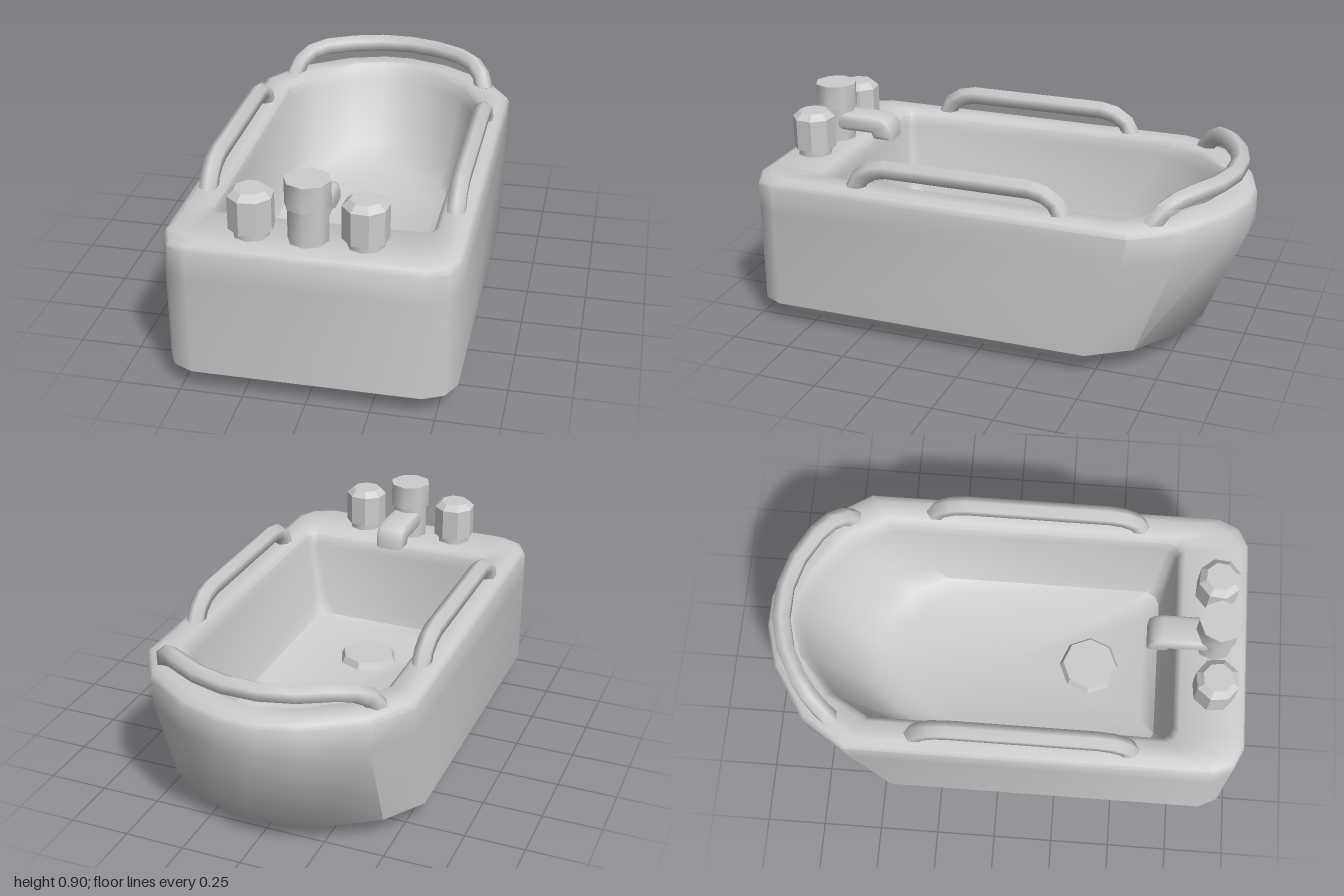
import * as THREE from 'three';
import { toCreasedNormals } from 'three/addons/utils/BufferGeometryUtils.js';

const material = new THREE.MeshStandardMaterial({ color: 0xcccccc });
const flatMaterial = new THREE.MeshStandardMaterial({ color: 0xcccccc, flatShading: true });
const V = (x, y, z) => new THREE.Vector3(x, y, z);

// Skin a list of equal-length rings and close both ends
function loft(rings, crease) {
  const n = rings[0].length, pos = [], index = [];
  rings.forEach(r => r.forEach(p => pos.push(p.x, p.y, p.z)));
  for (let i = 0; i < rings.length - 1; i++) {
    for (let j = 0; j < n; j++) {
      const a = i * n + j, b = i * n + (j + 1) % n;
      index.push(a, b, b + n, a, b + n, a + n);
    }
  }
  [0, rings.length - 1].forEach(i => {
    const c = V(0, 0, 0);
    rings[i].forEach(p => c.addScaledVector(p, 1 / n));
    const ci = pos.length / 3;
    pos.push(c.x, c.y, c.z);
    for (let j = 0; j < n; j++) {
      const a = i * n + j, b = i * n + (j + 1) % n;
      if (i === 0) index.push(ci, b, a); else index.push(ci, a, b);
    }
  });
  const g = new THREE.BufferGeometry();
  g.setAttribute('position', new THREE.Float32BufferAttribute(pos, 3));
  g.setIndex(index);
  return toCreasedNormals(g, crease);
}

// Tub outline: rounded front corners (size c), arched back (depth k)
function outline(y, hx, zf, zb, c, k) {
  const half = [
    [hx - c, zf], [hx - c * 0.33, zf - c * 0.33], [hx, zf - c],
    [hx, zb + k], [hx * 0.8, zb + k * 0.52], [hx * 0.43, zb + k * 0.14], [hx * 0.12, zb],
  ].map(([x, z]) => V(x, y, z));
  return [...half, ...half.map(p => V(-p.x, p.y, p.z)).reverse()];
}

// Six-sided rail following a list of points
function rail(points) {
  const up = V(0, 1, 0);
  const rings = points.map((p, i) => {
    const prev = points[Math.max(i - 1, 0)], next = points[Math.min(i + 1, points.length - 1)];
    const t = next.clone().sub(prev).normalize();
    const u = t.clone().cross(up).normalize(), w = t.clone().cross(u);
    return Array.from({ length: 6 }, (_, k) => {
      const a = (k + 0.5) * Math.PI / 3;
      return p.clone().addScaledVector(u, 0.04 * Math.cos(a)).addScaledVector(w, 0.04 * Math.sin(a));
    });
  });
  return loft(rings, 1.15);
}

export function createModel() {
  const model = new THREE.Group();
  const add = (name, geometry, x = 0, y = 0, z = 0, mat = material, parent = model) => {
    const mesh = new THREE.Mesh(geometry, mat);
    mesh.name = name;
    mesh.position.set(x, y, z);
    parent.add(mesh);
    return mesh;
  };

  // Shell: up the outside, over the rim, down the inside to the floor
  add('tub', loft([
    outline(0, 0.455, 0.88, -0.71, 0.1, 0.34),
    outline(0.09, 0.57, 1, -0.83, 0.12, 0.36),
    outline(0.5, 0.57, 1, -1, 0.12, 0.39),
    outline(0.615, 0.57, 1, -1, 0.12, 0.37),
    outline(0.635, 0.56, 0.99, -0.99, 0.12, 0.37),
    outline(0.65, 0.53, 0.96, -0.96, 0.12, 0.37),
    outline(0.65, 0.455, 0.73, -0.89, 0.05, 0.34),
    outline(0.63, 0.432, 0.708, -0.87, 0.04, 0.33),
    outline(0.58, 0.425, 0.7, -0.85, 0.04, 0.33),
    outline(0.32, 0.385, 0.68, -0.68, 0.05, 0.31),
    outline(0.25, 0.36, 0.66, -0.58, 0.06, 0.28),
    outline(0.22, 0.3, 0.6, -0.48, 0.07, 0.24),
  ], 0.75));

  // Drain plate in the floor
  add('drain', new THREE.CylinderGeometry(0.115, 0.135, 0.04, 8), 0, 0.23, 0.365, flatMaterial);

  // Side rails, the same bend at both ends
  const bend = [[0.445, 0.63], [0.415, 0.69], [0.365, 0.722], [0.305, 0.735]];
  const sidePath = [...bend, ...bend.map(([z, y]) => [-z, y]).reverse()];
  for (const s of [1, -1]) {
    add(s > 0 ? 'leftRail' : 'rightRail',
      rail(sidePath.map(([z, y]) => V(0, y, z + 0.095))), s * 0.495);
  }

  // Curved rail around the back
  const backHalf = [
    V(0.45, 0.63, -0.69), V(0.425, 0.69, -0.73), V(0.385, 0.722, -0.775),
    V(0.32, 0.735, -0.825), V(0.2, 0.735, -0.89), V(0.07, 0.735, -0.925),
  ];
  add('backRail', rail([...backHalf, ...backHalf.map(p => V(-p.x, p.y, p.z)).reverse()]));

  // Faucet: post, cap and spout
  const fx = -0.01, fz = 0.86;
  const faucet = new THREE.Group();
  faucet.name = 'faucet';
  model.add(faucet);
  const round = (top, bottom, h) => toCreasedNormals(new THREE.CylinderGeometry(top, bottom, h, 8), 0.9);
  add('faucetPost', round(0.08, 0.08, 0.16), fx, 0.715, fz, material, faucet);
  add('faucetCap', round(0.09, 0.09, 0.105), fx, 0.8475, fz, material, faucet);
  const bevel = 0.02;
  const profile = [
    [0.84, 0.72], [0.84, 0.755], [0.64, 0.755], [0.615, 0.745], [0.6, 0.72],
    [0.6, 0.695], [0.65, 0.695], [0.66, 0.72],
  ].map(([z, y]) => new THREE.Vector2(-z, y));
  const spoutGeometry = new THREE.ExtrudeGeometry(new THREE.Shape(profile), {
    depth: 0.09, bevelEnabled: true, bevelSize: bevel, bevelThickness: bevel, bevelSegments: 2,
  });
  spoutGeometry.translate(0, 0, -0.045).rotateY(Math.PI / 2);
  add('spout', toCreasedNormals(spoutGeometry, 0.8), fx, 0, 0, material, faucet);

  // Taps on either side of the faucet
  for (const s of [1, -1]) {
    const tap = new THREE.Group();
    tap.name = s > 0 ? 'leftTap' : 'rightTap';
    tap.position.set(fx + s * 0.218, 0, fz);
    model.add(tap);
    add('tapStem', round(0.073, 0.073, 0.06), 0, 0.66, 0, material, tap);
    const knob = new THREE.LatheGeometry(
      [[0, 0.68], [0.09, 0.68], [0.09, 0.815], [0.062, 0.84], [0, 0.84]].map(p => new THREE.Vector2(...p)), 8);
    add('tapKnob', knob, 0, 0, 0, flatMaterial, tap).rotation.y = s * 0.3;
  }
  return model;
}
